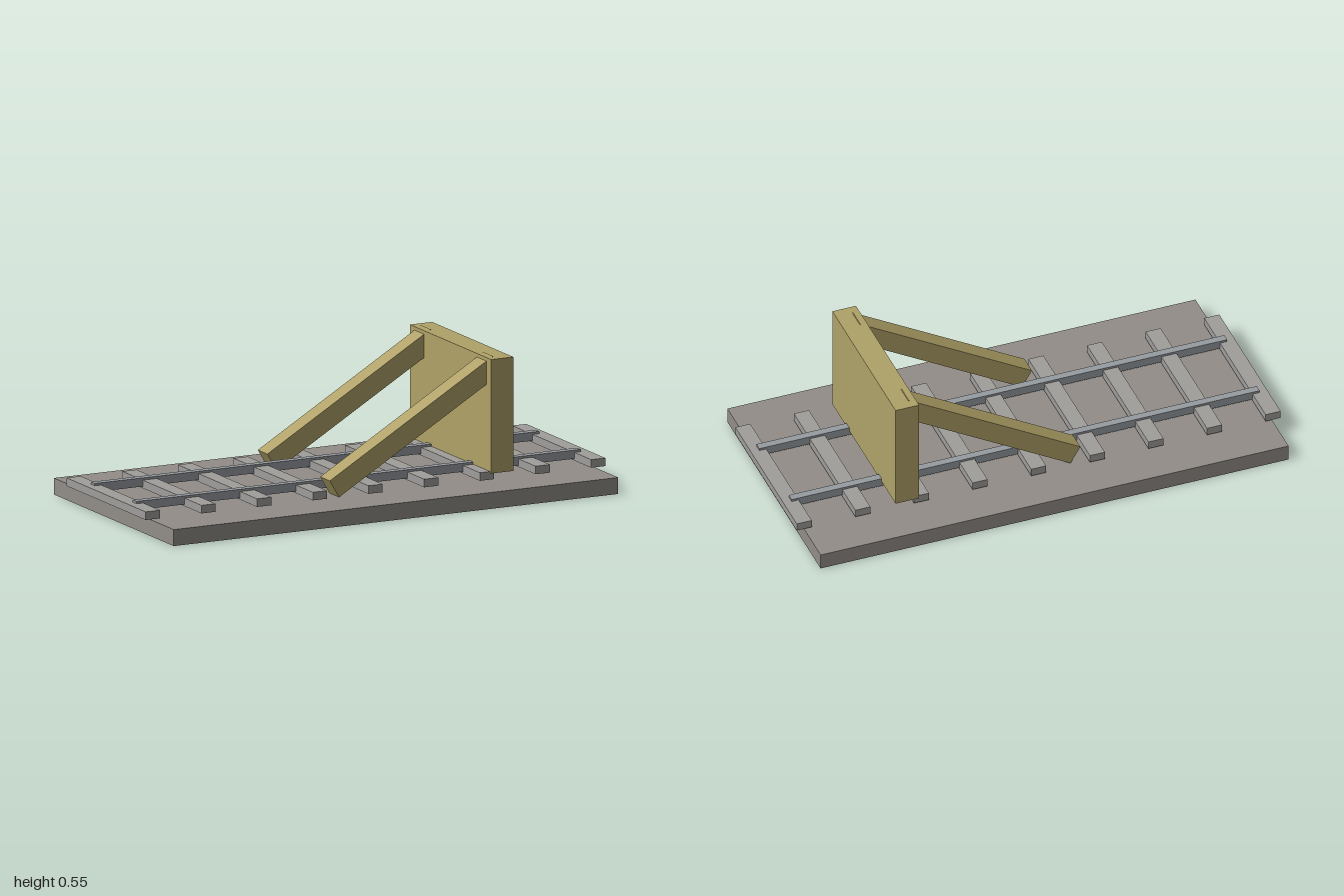
import * as THREE from 'three';

const material = (color) => new THREE.MeshStandardMaterial({ color });

export function createModel() {
  const model = new THREE.Group();
  const bed = material(0x928d87);
  bed.side = THREE.DoubleSide;
  const concrete = material(0xa09e9b);
  const steel = material(0x979ca1);
  const timber = material(0xb0a268);

  const addBox = (name, size, position, mat) => {
    const mesh = new THREE.Mesh(new THREE.BoxGeometry(...size), mat);
    mesh.name = name;
    mesh.position.set(...position);
    model.add(mesh);
    return mesh;
  };

  // Ground slab: a thin shell, open underneath
  const slab = addBox('groundSlab', [1.934, 0.065, 1], [0, 0.0325, 0], bed);
  const index = Array.from(slab.geometry.index.array);
  index.splice(18, 6); // drop the bottom face
  slab.geometry.setIndex(index);
  slab.geometry.clearGroups();

  // Sleepers, evenly spaced and floating just above the slab
  for (let i = 0; i < 9; i++) {
    addBox('sleeper', [0.062, 0.032, 0.66], [-0.969 + i * 0.24225, 0.088, 0], concrete);
  }

  // Rails and slanted braces, mirrored front to back
  for (const side of [1, -1]) {
    addBox('rail', [1.934, 0.034, 0.031], [0, 0.096, side * 0.174], steel);
    const brace = addBox('brace', [0.8236, 0.08, 0.08], [0.1915, 0.308, side * 0.26], timber);
    brace.rotation.z = THREE.MathUtils.degToRad(30.5);
  }

  // Upright buffer wall
  addBox('bufferWall', [0.097, 0.451, 0.678], [0.5465, 0.3235, 0], timber);

  return model;
}
